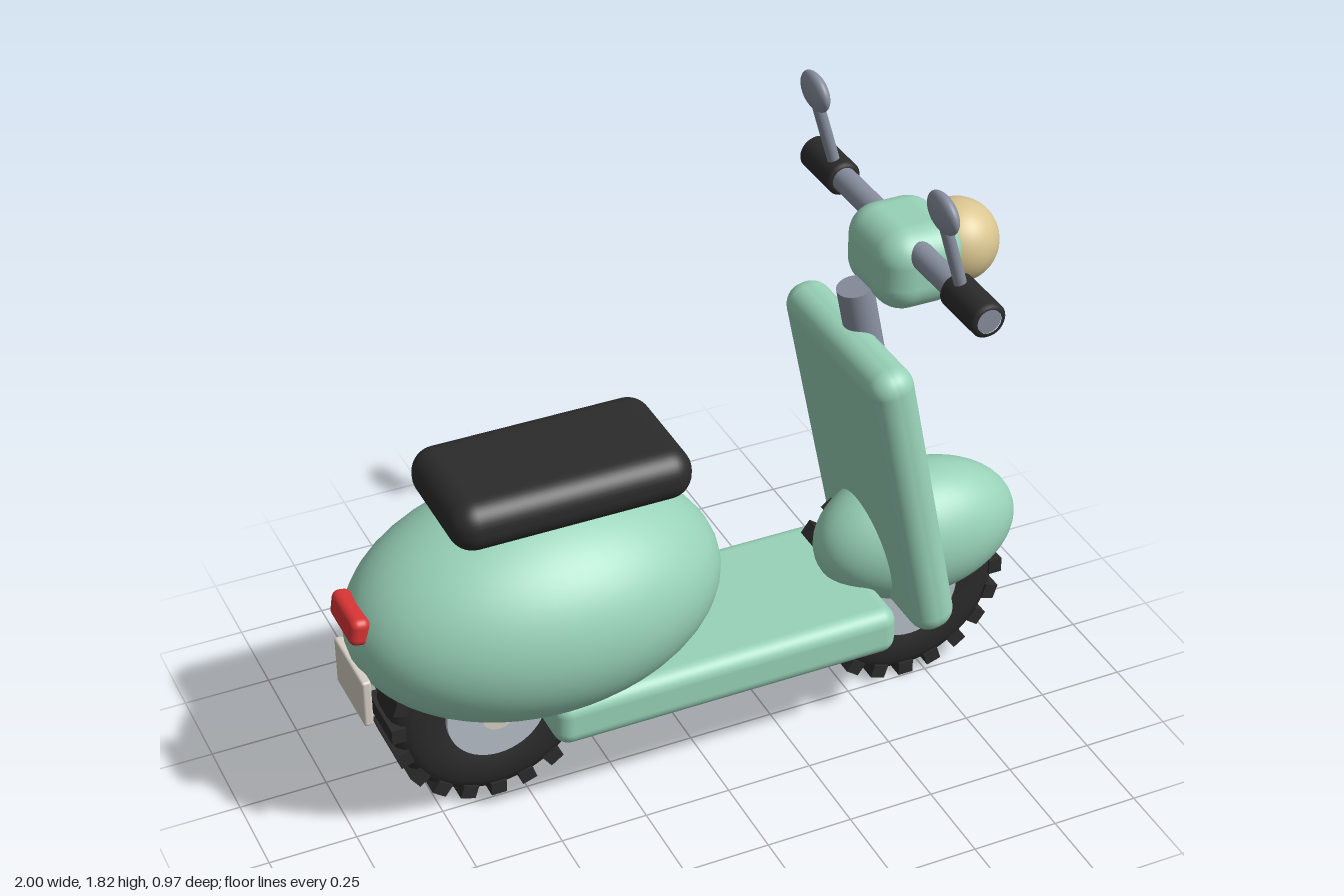
import * as THREE from 'three';
import { RoundedBoxGeometry } from 'three/addons/geometries/RoundedBoxGeometry.js';

const mat = (name, color) => {
  const m = new THREE.MeshStandardMaterial({ color });
  m.name = name;
  return m;
};

export function createModel() {
  const mint = mat('mint paint', 0x98d2b8);
  const black = mat('black rubber', 0x2b2b2b);
  const steel = mat('steel', 0x878e9e);
  const rimGrey = mat('rim grey', 0xb6bec9);
  const cream = mat('cream', 0xd6cfc4);
  const amber = mat('lamp amber', 0xd9c590);
  const red = mat('red', 0xd83434);

  const model = new THREE.Group();
  model.name = 'scooter';

  const add = (name, geo, material, x, y, z, parent = model) => {
    const mesh = new THREE.Mesh(geo, material);
    mesh.name = name;
    mesh.position.set(x, y, z);
    parent.add(mesh);
    return mesh;
  };
  const rounded = (name, size, r, material, x, y, z) =>
    add(name, new RoundedBoxGeometry(...size, 5, r), material, x, y, z);
  const ellipsoid = (name, rx, ry, rz, material, x, y, z) =>
    add(name, new THREE.SphereGeometry(1, 48, 32).scale(rx, ry, rz), material, x, y, z);
  // Cylinder lying along z
  const disc = (r, depth, sides = 32) =>
    new THREE.CylinderGeometry(r, r, depth, sides).rotateX(Math.PI / 2);
  // Cylinder between two points
  const rod = (name, a, b, r, material) => {
    const from = new THREE.Vector3(...a), to = new THREE.Vector3(...b);
    const dir = to.clone().sub(from);
    const mid = from.clone().add(to).multiplyScalar(0.5);
    const mesh = add(name, new THREE.CylinderGeometry(r, r, dir.length(), 24), material, mid.x, mid.y, mid.z);
    mesh.quaternion.setFromUnitVectors(new THREE.Vector3(0, 1, 0), dir.normalize());
    return mesh;
  };

  // Wheels: tyre with tread lugs, rim, hub caps and bolts on one side
  const tyreProfile = [
    [0.13, -0.085], [0.16, -0.097], [0.2, -0.101], [0.24, -0.097], [0.27, -0.083], [0.285, -0.06], [0.29, -0.03],
    [0.29, 0.03], [0.285, 0.06], [0.27, 0.083], [0.24, 0.097], [0.2, 0.101], [0.16, 0.097], [0.13, 0.085],
  ].map(([r, y]) => new THREE.Vector2(r, y));
  const tyreGeo = new THREE.LatheGeometry(tyreProfile, 56).rotateX(Math.PI / 2);
  const lugGeo = new THREE.BoxGeometry(0.04, 0.045, 0.19);
  const boltGeo = new THREE.SphereGeometry(0.014, 12, 8);

  const wheel = (name, x) => {
    const g = new THREE.Group();
    g.name = name;
    g.position.set(x, 0.3, -0.1);
    model.add(g);
    add('tyre', tyreGeo, black, 0, 0, 0, g);
    for (let i = 0; i < 20; i++) {
      const a = (i / 20) * Math.PI * 2 - Math.PI / 2;
      const lug = add('treadLug', lugGeo, black, Math.cos(a) * 0.279, Math.sin(a) * 0.279, 0, g);
      lug.rotation.z = a;
    }
    add('rim', disc(0.145, 0.212, 48), rimGrey, 0, 0, 0, g);
    add('hubCap', disc(0.05, 0.24), cream, 0, 0, 0, g);
    for (let i = 0; i < 6; i++) {
      const a = (i / 6) * Math.PI * 2 + Math.PI / 6;
      add('bolt', boltGeo, steel, Math.cos(a) * 0.1, Math.sin(a) * 0.1, -0.112, g);
    }
  };
  wheel('rearWheel', -0.58);
  wheel('frontWheel', 0.69);

  // Bodywork
  ellipsoid('rearBody', 0.525, 0.32, 0.35, mint, -0.46, 0.665, 0);
  ellipsoid('frontFender', 0.305, 0.2, 0.18, mint, 0.69, 0.53, 0);
  rounded('floorboard', [1.02, 0.145, 0.5], 0.045, mint, 0.01, 0.383, 0);
  rounded('legShield', [0.13, 0.905, 0.58], 0.06, mint, 0.542, 0.81, 0).rotation.z = 0.2;
  rounded('seat', [0.675, 0.145, 0.38], 0.068, black, -0.398, 1.032, 0);

  // Tail light and plate
  rounded('tailLight', [0.055, 0.08, 0.175], 0.022, red, -0.971, 0.743, 0).rotation.z = -0.15;
  rounded('rearPlate', [0.026, 0.145, 0.22], 0.008, cream, -0.974, 0.533, 0);

  // Steering column, headset and lamp
  rod('steeringColumn', [0.69, 0.31, 0], [0.475, 1.372, 0], 0.05, steel);
  rounded('headset', [0.25, 0.235, 0.29], 0.085, mint, 0.62, 1.443, 0);
  ellipsoid('headlight', 0.115, 0.115, 0.115, amber, 0.775, 1.442, 0);

  // Handlebar with grips and mirrors
  add('handlebar', disc(0.035, 0.8), steel, 0.6, 1.505, 0);
  const gripGeo = new THREE.LatheGeometry(
    [[0.034, -0.0875], [0.043, -0.0875], [0.05, -0.079], [0.05, 0.079], [0.043, 0.0875], [0.034, 0.0875]]
      .map(([r, y]) => new THREE.Vector2(r, y)), 32).rotateX(Math.PI / 2);
  for (const side of [-1, 1]) {
    add('grip', gripGeo, black, 0.6, 1.505, side * 0.3975);
    add('gripEnd', disc(0.034, 0.09), steel, 0.6, 1.505, side * 0.438);
    rod('mirrorStem', [0.6, 1.505, side * 0.353], [0.53, 1.745, side * 0.353], 0.017, steel);
    ellipsoid('mirror', 0.026, 0.056, 0.071, steel, 0.527, 1.768, side * 0.353).rotation.z = 0.12;
  }

  return model;
}
